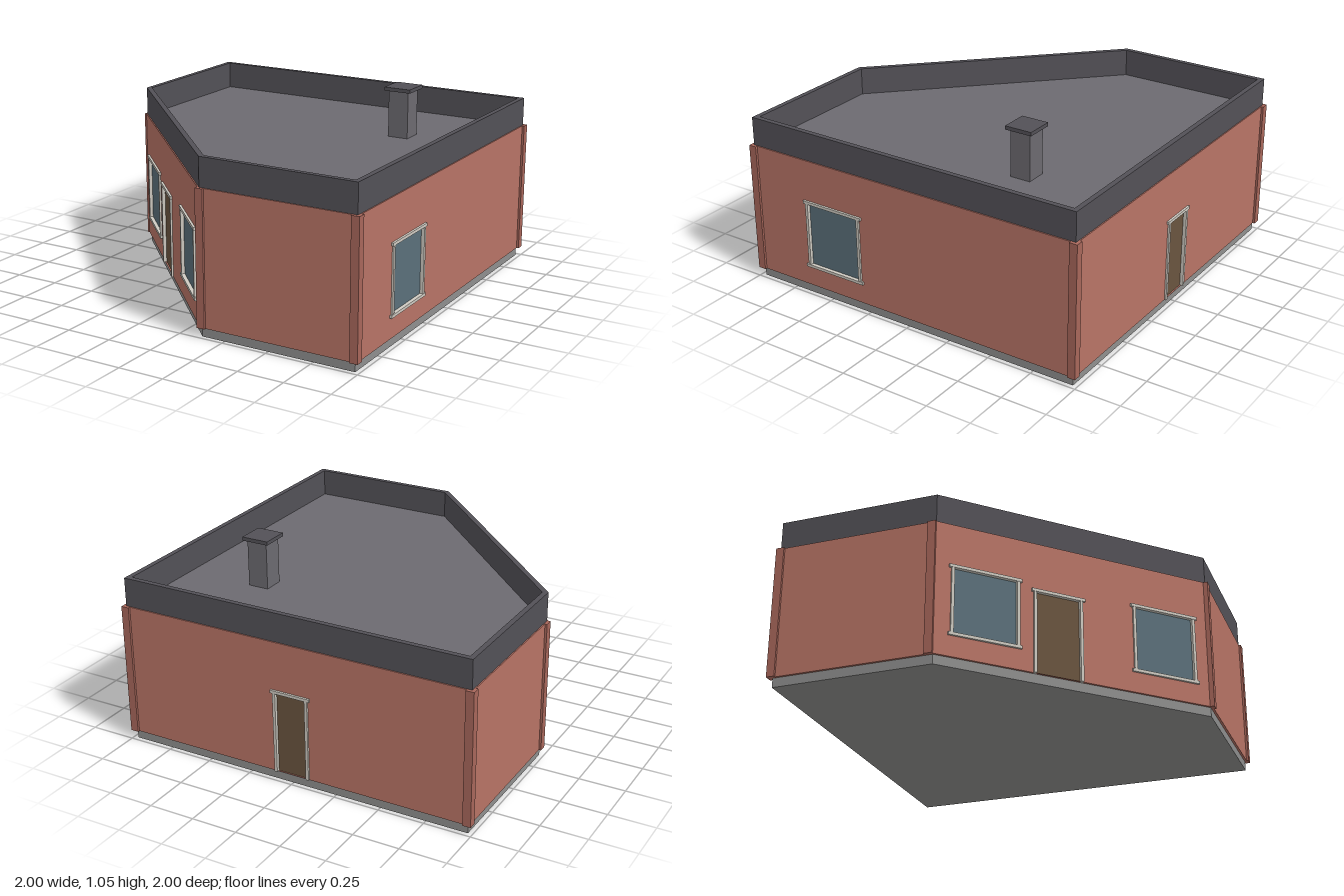
import * as THREE from 'three';

const mat = (color) => new THREE.MeshStandardMaterial({ color, flatShading: true });
const brick = mat(0xb87466), post = mat(0xa8675b), roofGrey = mat(0x6c6a70), dark = mat(0x535157);
const stone = mat(0x8f8f8e), trim = mat(0xcfcbc2), glass = mat(0x5b707a), wood = mat(0x6a543f);

function add(parent, name, geometry, material, x = 0, y = 0, z = 0) {
  const mesh = new THREE.Mesh(geometry, material);
  mesh.name = name;
  mesh.position.set(x, y, z);
  parent.add(mesh);
  return mesh;
}

const box = (parent, name, material, w, h, d, x, y, z) =>
  add(parent, name, new THREE.BoxGeometry(w, h, d), material, x, y, z);

// Square plan with one corner cut at 45 degrees, inset by d; points are (x, z)
function plan(d) {
  const r = 1 - d, cut = 0.89 - d * Math.SQRT2;
  return [[r - cut, r], [r, r], [r, -r], [-r, -r], [-r, cut - r]].map(([x, z]) => new THREE.Vector2(x, z));
}

// Horizontal layer of the plan, optionally hollow
function layer(outer, height, inner) {
  const flip = (d) => plan(d).map((p) => new THREE.Vector2(p.x, -p.y));
  const shape = new THREE.Shape(flip(outer));
  if (inner) shape.holes.push(new THREE.Path(flip(inner)));
  return new THREE.ExtrudeGeometry(shape, { depth: height, bevelEnabled: false }).rotateX(-Math.PI / 2);
}

const BASE = 0.05, TOP = 0.77, THICK = 0.03;

// Framed window or door, centred at x on a wall whose face is z = 0
function fitOpening(wall, { x, w, y0, y1, door }) {
  const g = new THREE.Group();
  g.name = door ? 'door' : 'window';
  g.position.x = x;
  wall.add(g);
  const h = y1 - y0, mid = (y0 + y1) / 2;
  box(g, door ? 'doorLeaf' : 'glassPane', door ? wood : glass, w, h, 0.012, 0, mid, -0.014);
  for (const s of [-1, 1]) box(g, 'jamb', trim, 0.016, h, 0.026, s * (w / 2 - 0.008), mid, -0.003);
  box(g, 'lintel', trim, w + 0.024, 0.016, 0.032, 0, y1 - 0.004, -0.004);
  if (!door) box(g, 'sill', trim, w + 0.024, 0.016, 0.032, 0, y0 + 0.004, -0.004);
}

function buildWall(a, b, openings, name) {
  const wall = new THREE.Group();
  wall.name = name;
  wall.position.set(a.x, 0, a.y);
  wall.rotation.y = Math.atan2(a.y - b.y, b.x - a.x);
  const len = a.distanceTo(b);
  const shape = new THREE.Shape();
  shape.moveTo(0, BASE).lineTo(len, BASE).lineTo(len, TOP).lineTo(0, TOP).closePath();
  for (const o of openings) {
    const l = o.x - o.w / 2, r = o.x + o.w / 2, bottom = o.y0 + (o.door ? 0.001 : 0);
    const hole = new THREE.Path();
    hole.moveTo(l, bottom).lineTo(l, o.y1).lineTo(r, o.y1).lineTo(r, bottom).closePath();
    shape.holes.push(hole);
    fitOpening(wall, o);
  }
  const geo = new THREE.ExtrudeGeometry(shape, { depth: THICK, bevelEnabled: false });
  add(wall, 'wallPanel', geo.translate(0, 0, -THICK), brick);
  return wall;
}

export function createModel() {
  const model = new THREE.Group();
  model.name = 'flatRoofBuilding';

  // Plinth, roof deck and parapet
  add(model, 'plinth', layer(0.024, BASE), stone);
  add(model, 'roofDeck', layer(0.03, 0.02), roofGrey, 0, TOP - 0.015, 0);
  add(model, 'parapet', layer(0.018, 0.155, 0.046), dark, 0, TOP, 0);

  // Walls with their openings, measured along each wall
  const win = (x, w) => ({ x, w, y0: 0.165, y1: 0.54 });
  const door = (x, w) => ({ x, w, y0: BASE, y1: 0.505, door: true });
  const sides = [
    ['frontWall', []],
    ['leftWall', [win(0.523, 0.35)]],
    ['backWall', [door(0.99, 0.2)]],
    ['rightWall', []],
    ['angledWall', [win(0.27, 0.37), door(0.67, 0.275), win(1.285, 0.37)]],
  ];
  const corners = plan(0.012);
  sides.forEach(([name, openings], i) =>
    model.add(buildWall(corners[i], corners[(i + 1) % 5], openings, name)));

  // Corner posts
  const posts = [[0.125, 0.978], [0.978, 0.978], [0.978, -0.978], [-0.978, -0.978], [-0.978, -0.137]];
  for (const [x, z] of posts) {
    box(model, 'cornerPost', post, 0.044, TOP - BASE, 0.044, x, (TOP + BASE) / 2, z);
  }

  // Chimney
  box(model, 'chimneyShaft', roofGrey, 0.115, 0.26, 0.115, 0.515, 0.9, -0.405);
  box(model, 'chimneyCap', dark, 0.152, 0.02, 0.152, 0.515, 1.04, -0.405);

  return model;
}
